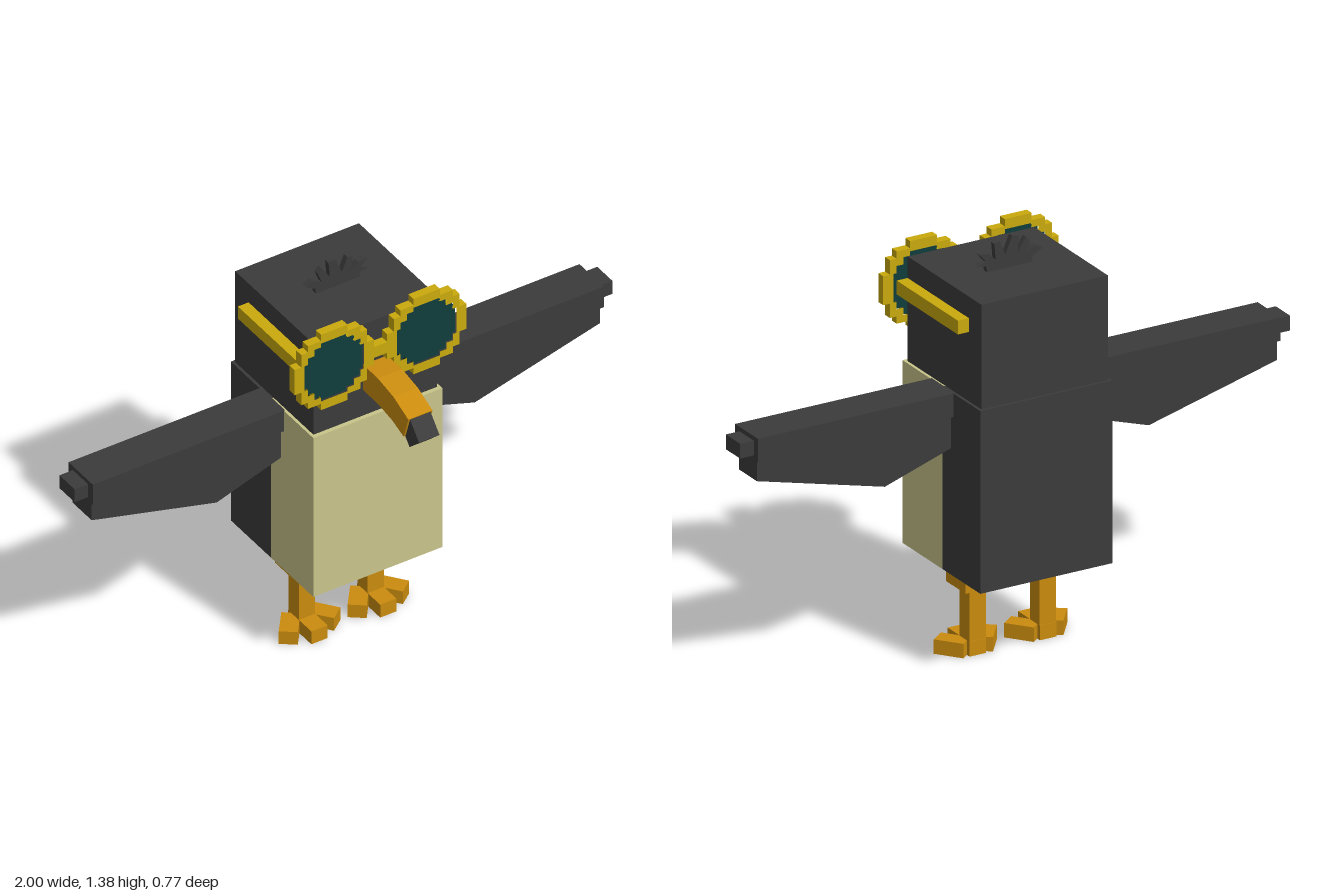
import * as THREE from 'three';

const mat = (name, color) => {
  const m = new THREE.MeshStandardMaterial({ color });
  m.name = name;
  return m;
};

export function createModel() {
  const dark = mat('charcoal', 0x3b3b3b);
  const cream = mat('cream', 0xc9c58b);
  const orange = mat('orange', 0xca8c0e);
  const yellow = mat('yellow', 0xcaaa0e);
  const teal = mat('teal', 0x0f3c3c);

  const model = new THREE.Group();
  model.name = 'bird';

  const add = (parent, name, geometry, material) => {
    const mesh = new THREE.Mesh(geometry, material);
    mesh.name = name;
    parent.add(mesh);
    return mesh;
  };
  // Box given by its limits on each axis
  const box = (parent, name, material, [x0, x1], [y0, y1], [z0, z1]) => {
    const mesh = add(parent, name, new THREE.BoxGeometry(x1 - x0, y1 - y0, z1 - z0), material);
    mesh.position.set((x0 + x1) / 2, (y0 + y1) / 2, (z0 + z1) / 2);
    return mesh;
  };
  const vectors = (points) => points.map(([x, y]) => new THREE.Vector2(x, y));
  const extrude = (points, depth, hole) => {
    const shape = new THREE.Shape(vectors(points));
    if (hole) shape.holes.push(new THREE.Path(vectors(hole)));
    return new THREE.ExtrudeGeometry(shape, { depth, bevelEnabled: false });
  };
  const group = (name, parent = model) => {
    const g = new THREE.Group();
    g.name = name;
    parent.add(g);
    return g;
  };

  // Body and head
  box(model, 'belly', cream, [-0.24, 0.24], [0.305, 0.925], [-0.155, 0.09]);
  box(model, 'back', dark, [-0.24, 0.24], [0.305, 0.925], [-0.385, -0.155]);
  box(model, 'head', dark, [-0.23, 0.23], [0.925, 1.28], [-0.375, 0.075]);

  // Spiky tuft
  const tuft = [
    [-0.08, 1.275], [0.08, 1.275], [0.085, 1.3], [0.12, 1.305], [0.085, 1.315], [0.11, 1.345],
    [0.075, 1.34], [0.05, 1.315], [0.055, 1.37], [0.035, 1.375], [0.015, 1.325], [-0.01, 1.385],
    [-0.035, 1.38], [-0.03, 1.325], [-0.06, 1.37], [-0.075, 1.355], [-0.06, 1.315],
    [-0.095, 1.335], [-0.12, 1.32], [-0.085, 1.3],
  ];
  add(model, 'tuft', extrude(tuft, 0.02), dark).position.z = -0.16;

  // Beak: side profiles drawn as (z, y) and extruded across x
  const across = (points, width) => extrude(points.map(([z, y]) => [-z, y]).reverse(), width)
    .translate(0, 0, -width / 2).rotateY(Math.PI / 2);
  const beakProfile = [
    [0.07, 1.025], [0.17, 1.022], [0.243, 1.011], [0.308, 0.989],
    [0.335, 1.072], [0.25, 1.107], [0.16, 1.123], [0.07, 1.123],
  ];
  const tipProfile = [[0.305, 0.989], [0.331, 0.96], [0.386, 1.011], [0.333, 1.07]];
  add(model, 'beak', across(beakProfile, 0.09), orange);
  add(model, 'beakTip', across(tipProfile, 0.076), dark);

  // Stepped ring outline, from (half width, height) corners of one quadrant
  const stepped = (corners) => {
    const quad = [];
    corners.forEach(([w, h], i) => {
      const next = corners[i + 1];
      quad.push([w, h]);
      if (next) quad.push([w, next[1]]);
    });
    const flip = (sx, sy) => quad.map(([x, y]) => [x * sx * 0.0245, y * sy * 0.0245]);
    return [...flip(1, 1), ...flip(1, -1).reverse(), ...flip(-1, -1), ...flip(-1, 1).reverse()];
  };
  const rim = stepped([[2, 6], [4, 5], [5, 4], [6, 2]]);
  const opening = stepped([[2, 4.6], [3, 4], [4, 3], [4.5, 2]]);

  // Glasses
  const glasses = group('glasses');
  box(glasses, 'bridge', yellow, [-0.03, 0.03], [1.16, 1.202], [0.075, 0.105]);
  for (const s of [-1, 1]) {
    add(glasses, 'rim', extrude(rim, 0.03, opening), yellow).position.set(s * 0.172, 1.183, 0.075);
    add(glasses, 'lens', extrude(opening, 0.018), teal).position.set(s * 0.172, 1.183, 0.08);
    box(glasses, 'templeArm', yellow, s > 0 ? [0.228, 0.27] : [-0.27, -0.228],
      [1.16, 1.207], [-0.298, 0.075]);
  }

  // Wings
  const feathers = [[0.235, 0.735], [0.48, 0.655], [0.945, 0.775], [0.945, 0.85], [0.235, 0.85]];
  for (const s of [-1, 1]) {
    const wing = group(s > 0 ? 'leftWing' : 'rightWing');
    const span = (a, b) => (s > 0 ? [a, b] : [-b, -a]);
    box(wing, 'wingArm', dark, span(0.235, 0.95), [0.845, 0.925], [-0.22, -0.08]);
    box(wing, 'wingTip', dark, span(0.94, 1), [0.86, 0.91], [-0.195, -0.107]);
    const outline = s > 0 ? feathers : feathers.map(([x, y]) => [-x, y]).reverse();
    add(wing, 'wingFeathers', extrude(outline, 0.11), dark).position.z = -0.205;
  }

  // Legs with three-toed feet
  for (const s of [-1, 1]) {
    const leg = group(s > 0 ? 'leftLeg' : 'rightLeg');
    leg.position.x = s * 0.128;
    box(leg, 'thigh', orange, [-0.061, 0.061], [0.23, 0.305], [-0.21, -0.09]);
    box(leg, 'shank', orange, [-0.03, 0.03], [0.05, 0.23], [-0.18, -0.12]);
    box(leg, 'middleToe', orange, [-0.03, 0.03], [0, 0.05], [-0.182, -0.048]);
    for (const side of [-1, 1]) {
      const toe = add(leg, 'sideToe', new THREE.BoxGeometry(0.06, 0.049, 0.1), orange);
      toe.position.set(side * 0.0605, 0.0248, -0.1265);
      toe.rotation.y = side * 0.656;
    }
  }

  return model;
}
